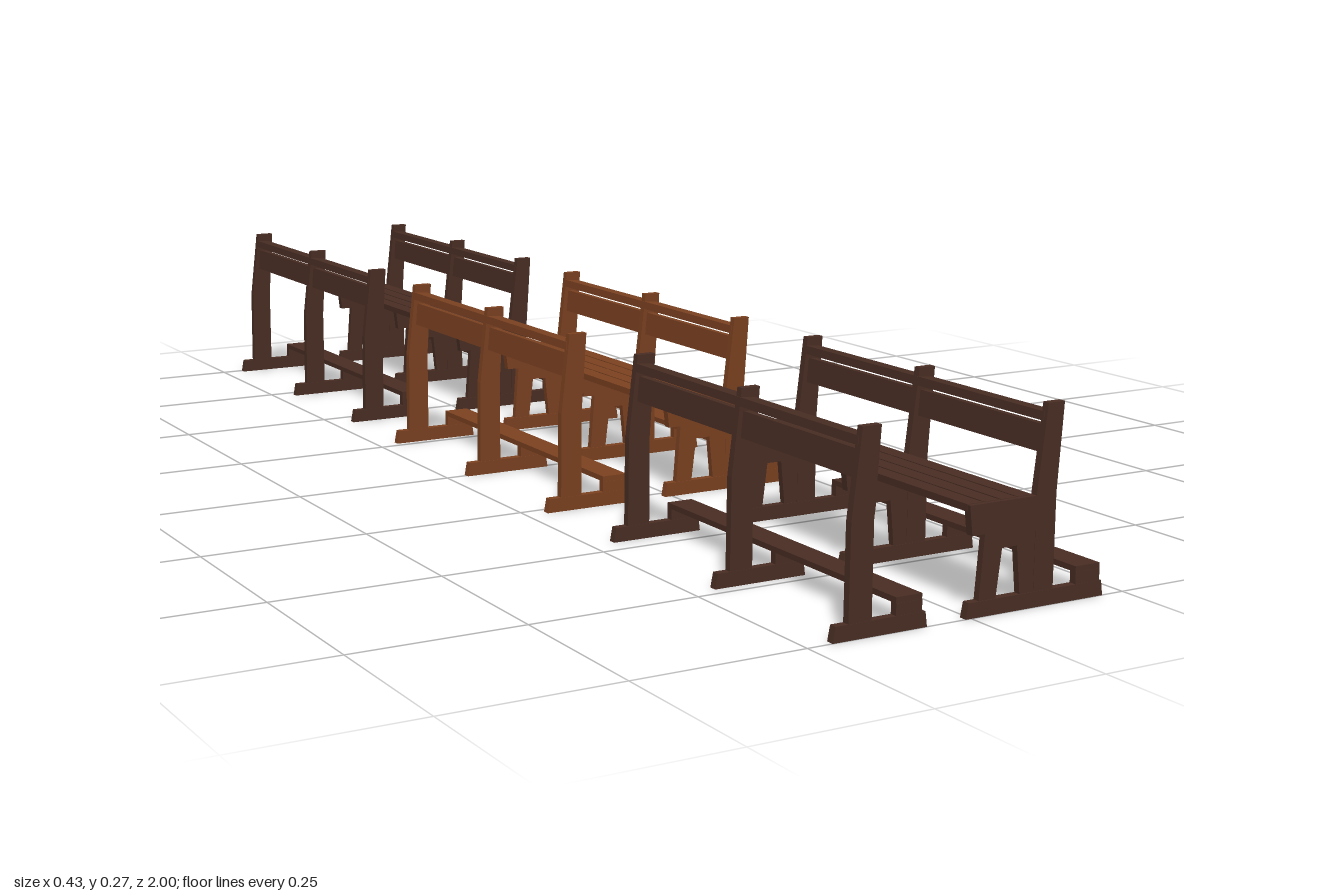
import * as THREE from 'three';

const SET_SPACING = 0.727, LENGTH = 0.546, THICK = 0.011;
const PANEL_Z = [-1, 0, 1].map(i => i * (LENGTH - THICK) / 2);

const darkWood = new THREE.MeshStandardMaterial({ color: 0x4a2e24 });
darkWood.name = 'dark wood';
const warmWood = new THREE.MeshStandardMaterial({ color: 0x7d4221 });
warmWood.name = 'warm wood';

// Upright board: an outline in x, y sawn to a thickness in z
function sawn(name, points, thick, material) {
  const shape = new THREE.Shape(points.map(p => new THREE.Vector2(...p)));
  const geo = new THREE.ExtrudeGeometry(shape, { depth: thick, bevelEnabled: false });
  geo.translate(0, 0, -thick / 2);
  const mesh = new THREE.Mesh(geo, material);
  mesh.name = name;
  return mesh;
}

// Board running along z, given its x and y ranges
function board(name, x0, x1, y0, y1, length, material, tilt = 0) {
  const mesh = new THREE.Mesh(new THREE.BoxGeometry(x1 - x0, y1 - y0, length), material);
  mesh.position.set((x0 + x1) / 2, (y0 + y1) / 2, 0);
  mesh.rotation.z = tilt;
  mesh.name = name;
  return mesh;
}

// Foot, leaning post and kneeler block shared by both kinds of frame
function frame(x0, x1, post, kneelX, material) {
  const g = new THREE.Group();
  g.name = 'frame';
  g.add(
    sawn('foot', [[x0, 0], [x1, 0], [x1 - 0.003, 0.021], [x0 + 0.004, 0.021]], THICK + 0.001, material),
    sawn('post', post, THICK, material),
    board('kneelerBlock', kneelX, kneelX + 0.04, 0.021, 0.037, THICK, material)
  );
  return g;
}

// Kneeler, back plank and top rail that join the frames
function longBoards(kneelX, backX, material) {
  const inner = LENGTH - THICK, tilt = -0.09;
  return [
    board('kneeler', kneelX, kneelX + 0.04, 0.037, 0.045, LENGTH - 0.001, material),
    board('backPlank', backX - 0.007, backX + 0.005, 0.2, 0.236, inner, material, tilt),
    board('topRail', backX - 0.011, backX + 0.013, 0.242, 0.254, inner, material, tilt)
  ];
}

function buildScreen(material) {
  const g = new THREE.Group();
  g.name = 'frontScreen';
  const post = [[-0.19, 0.02], [-0.155, 0.02], [-0.155, 0.149], [-0.147, 0.267], [-0.175, 0.267], [-0.189, 0.149]];
  for (const z of PANEL_Z) {
    const f = frame(-0.213, -0.07, post, -0.118, material);
    f.position.z = z;
    g.add(f);
  }
  g.add(...longBoards(-0.118, -0.167, material));
  return g;
}

function buildBench(material) {
  const g = new THREE.Group();
  g.name = 'bench';
  const post = [[0.099, 0.02], [0.131, 0.02], [0.131, 0.149], [0.139, 0.267], [0.113, 0.267], [0.099, 0.149]];
  const legs = [[0.011, 0.02], [0.038, 0.02], [0.046, 0.086], [0.07, 0.086], [0.077, 0.02],
    [0.1, 0.02], [0.1, 0.11], [0.018, 0.11]];
  const support = [[-0.003, 0.108], [0.1, 0.108], [0.1, 0.148], [-0.008, 0.148]];
  for (const z of PANEL_Z) {
    const f = frame(-0.009, 0.215, post, 0.169, material);
    f.add(sawn('legs', legs, THICK - 0.001, material),
      sawn('seatSupport', support, THICK + 0.001, material));
    f.position.z = z;
    g.add(f);
  }
  // Four seat slats with narrow gaps
  for (let i = 0; i < 4; i++) {
    const x = -0.008 + i * 0.027;
    g.add(board('seatSlat', x, x + 0.024, 0.139, 0.1487, LENGTH - THICK, material));
  }
  g.add(...longBoards(0.169, 0.121, material));
  return g;
}

export function createModel() {
  const model = new THREE.Group();
  model.name = 'pews';
  // Three rows end to end, the middle one in a warmer wood
  for (const i of [-1, 0, 1]) {
    const material = i === 0 ? warmWood : darkWood;
    const row = new THREE.Group();
    row.name = 'pewRow';
    row.add(buildScreen(material), buildBench(material));
    row.position.set(i === 0 ? -0.0035 : 0, 0, i * SET_SPACING);
    model.add(row);
  }
  return model;
}
